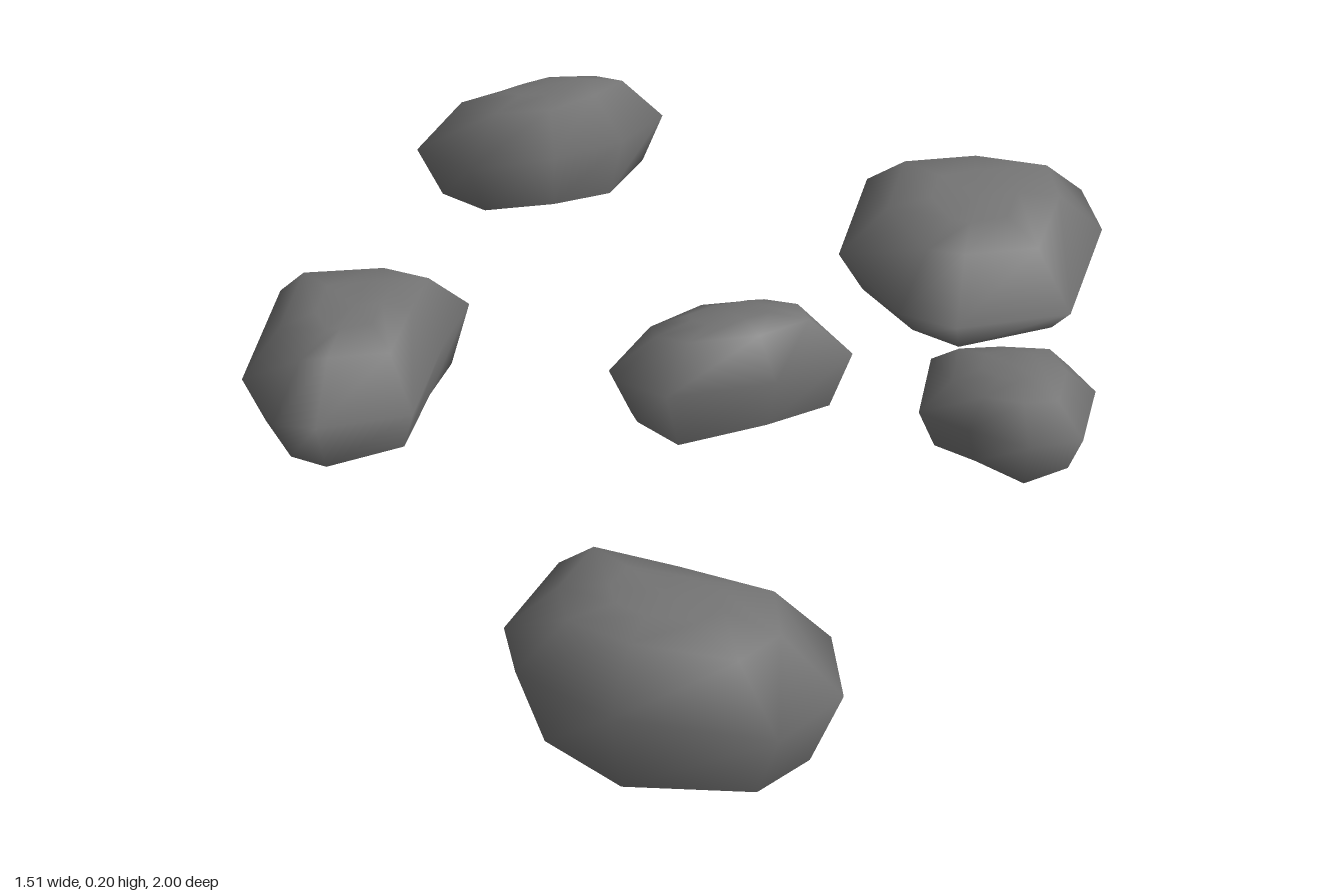
import * as THREE from 'three';

// Each stone: belt outline seen from above [x, z], layer heights, and tilt along x and z
const STONES = [
  { name: 'backStone', rim: 0.022, belt: 0.105, top: 0.197, tilt: [0, 0.13],
    outline: [[-0.04, -0.9], [0.12, -0.98], [0.28, -1], [0.37, -0.91], [0.41, -0.83], [0.25, -0.7], [0.09, -0.655], [-0.02, -0.75]] },
  { name: 'rightRearStone', rim: 0.03, belt: 0.105, top: 0.185, tilt: [0.02, -0.05],
    outline: [[-0.515, -0.415], [-0.34, -0.365], [-0.285, -0.25], [-0.39, -0.13], [-0.515, 0.015], [-0.65, -0.01], [-0.7, -0.04], [-0.67, -0.21]] },
  { name: 'leftStone', rim: 0.036, belt: 0.1, top: 0.185, tilt: [0.09, -0.21],
    outline: [[0.455, -0.27], [0.635, -0.22], [0.755, -0.09], [0.7, 0.03], [0.53, 0.165], [0.35, 0.115], [0.29, 0.05], [0.31, -0.14]] },
  { name: 'middleStone', rim: 0.036, belt: 0.11, top: 0.185, tilt: [0, 0.1],
    outline: [[-0.065, 0.012], [0.08, 0.045], [0.105, 0.14], [0.065, 0.245], [-0.065, 0.245], [-0.22, 0.205], [-0.247, 0.115], [-0.215, 0.04]] },
  { name: 'smallStone', rim: 0.052, belt: 0.11, top: 0.163, tilt: [0.02, 0.02],
    outline: [[0.17, 0.29], [0.265, 0.315], [0.33, 0.4], [0.285, 0.515], [0.19, 0.605], [0.11, 0.59], [0.07, 0.51], [0.068, 0.4]] },
  { name: 'frontStone', rim: 0.018, belt: 0.115, top: 0.194, tilt: [-0.03, -0.05],
    outline: [[-0.595, 0.565], [-0.485, 0.68], [-0.387, 0.845], [-0.46, 0.975], [-0.565, 1], [-0.71, 0.88], [-0.76, 0.755], [-0.715, 0.645]] },
];

// Domed shell, open underneath: rim, belt and shoulder rings closed by an apex
function stoneGeometry({ outline, rim, belt, top, tilt }) {
  const n = outline.length;
  const cx = outline.reduce((s, p) => s + p[0], 0) / n;
  const cz = outline.reduce((s, p) => s + p[1], 0) / n;
  const rings = [
    { scale: 0.82, y: rim, lean: 0.6, wobble: 0.009 },
    { scale: 1, y: belt, lean: 1, wobble: 0.008 },
    { scale: 0.65, y: top - 0.015, lean: 1, wobble: 0.004 },
    { scale: 0.33, y: top - 0.002, lean: 1, wobble: 0 },
  ];
  const position = [];
  const index = [];
  rings.forEach(({ scale, y, lean, wobble }, r) => {
    outline.forEach(([x, z], i) => {
      const dx = (x - cx) * scale;
      const dz = (z - cz) * scale;
      const height = y + lean * (dx * tilt[0] + dz * tilt[1]) + wobble * Math.sin(i * 2.3 + r);
      position.push(cx + dx, height, cz + dz);
    });
  });
  position.push(cx, top, cz);

  for (let i = 0; i < n; i++) {
    const j = (i + 1) % n;
    for (let r = 0; r < rings.length - 1; r++) {
      const low = r * n;
      const high = low + n;
      index.push(low + j, low + i, high + i, low + j, high + i, high + j);
    }
    const last = (rings.length - 1) * n;
    index.push(last + j, last + i, rings.length * n);
  }

  const geometry = new THREE.BufferGeometry();
  geometry.setAttribute('position', new THREE.Float32BufferAttribute(position, 3));
  geometry.setIndex(index);
  geometry.computeVertexNormals();
  return geometry;
}

export function createModel() {
  const group = new THREE.Group();
  group.name = 'scatteredStones';
  const material = new THREE.MeshStandardMaterial({ color: 0x737373, side: THREE.DoubleSide });
  for (const stone of STONES) {
    const mesh = new THREE.Mesh(stoneGeometry(stone), material);
    mesh.name = stone.name;
    group.add(mesh);
  }
  return group;
}
